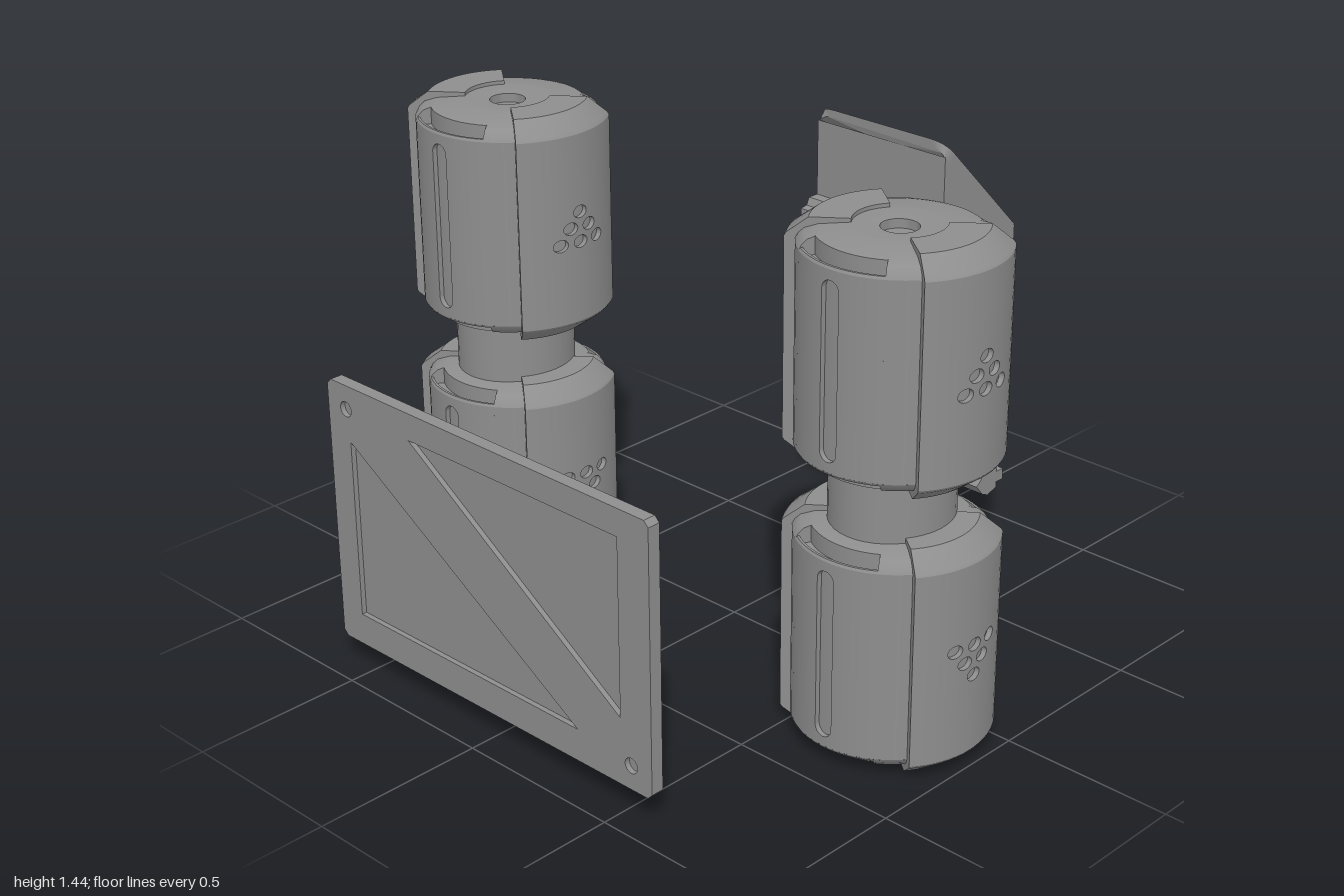
import * as THREE from 'three';
import { toCreasedNormals, mergeGeometries } from 'three/addons/utils/BufferGeometryUtils.js';

const mat = new THREE.MeshStandardMaterial({ color: 0x8e8e8e, side: THREE.DoubleSide });
const V2 = (p) => new THREE.Vector2(p[0], p[1]);
const poly = (pts) => new THREE.Shape(pts.map(V2));
const rect = (x0, x1, y0, y1) => poly([[x0, y0], [x1, y0], [x1, y1], [x0, y1]]);
const STRIPS = 16;

function mesh(name, geo) {
  const m = new THREE.Mesh(geo, mat);
  m.name = name;
  return m;
}

function prism(shape, depth, holes = []) {
  shape.holes.push(...holes);
  return new THREE.ExtrudeGeometry(shape, { depth, bevelEnabled: false, curveSegments: 20 });
}

// Keeps the part of a convex polygon where sign * (x - at) >= 0
function clip(pts, at, sign) {
  const out = [];
  pts.forEach((a, i) => {
    const b = pts[(i + 1) % pts.length], da = sign * (a[0] - at), db = sign * (b[0] - at);
    if (da >= 0) out.push(a);
    if (da * db < 0) out.push([at, a[1] + (b[1] - a[1]) * da / (da - db)]);
  });
  return out;
}

// Cuts a flat shape into upright strips and returns its triangles
function slice(shape, half, step) {
  const g = new THREE.ShapeGeometry(shape, 12), p = g.attributes.position, ix = g.index.array, out = [];
  for (let i = 0; i < ix.length; i += 3) {
    const t = [0, 1, 2].map((k) => [p.getX(ix[i + k]), p.getY(ix[i + k])]);
    for (let s = 0; s < STRIPS; s++) {
      const c = clip(clip(t, -half + s * step, 1), -half + (s + 1) * step, -1);
      for (let k = 2; k < c.length; k++) out.push([c[0], c[k - 1], c[k]]);
    }
  }
  return out.filter(([a, b, c]) => (b[0] - a[0]) * (c[1] - a[1]) - (b[1] - a[1]) * (c[0] - a[0]) > 1e-9);
}

// Cylinder wall panel with sunken pockets
function bentPanel(name, R, halfAngle, h, pockets, depth, phi) {
  const pos = [], nor = [], half = halfAngle * R, step = 2 * half / STRIPS;
  // Places a flat point on the faceted wall; n is its normal as across, up, out
  const put = ([x, y], r, n = [0, 0, 1]) => {
    const s = Math.min(STRIPS - 1, Math.max(0, Math.floor((x + half) / step + 1e-6)));
    const a0 = phi + (-half + s * step) / R, a1 = a0 + step / R, f = (x + half) / step - s, a = phi + x / R;
    pos.push(r * ((1 - f) * Math.sin(a0) + f * Math.sin(a1)), y, r * ((1 - f) * Math.cos(a0) + f * Math.cos(a1)));
    nor.push(n[0] * Math.cos(a) + n[2] * Math.sin(a), n[1], n[2] * Math.cos(a) - n[0] * Math.sin(a));
  };
  const panel = rect(-half, half, -h, h);
  panel.holes.push(...pockets);
  slice(panel, half, step).forEach((t) => t.forEach((q) => put(q, R)));
  for (const hole of pockets) {
    slice(hole, half, step).forEach((t) => t.forEach((q) => put(q, R - depth)));
    const loop = hole.getPoints(12).map((v) => [v.x, v.y]);
    loop.forEach((a, i) => {
      const b = loop[(i + 1) % loop.length], l = Math.hypot(b[0] - a[0], b[1] - a[1]);
      if (l < 1e-6) return;
      const n = [(a[1] - b[1]) / l, (b[0] - a[0]) / l, 0];
      put(a, R, n); put(b, R, n); put(a, R - depth, n);
      put(b, R, n); put(b, R - depth, n); put(a, R - depth, n);
    });
  }
  const g = new THREE.BufferGeometry();
  g.setAttribute('position', new THREE.Float32BufferAttribute(pos, 3));
  g.setAttribute('normal', new THREE.Float32BufferAttribute(nor, 3));
  return mesh(name, g);
}

// Upper and lower ends of a sector, with flat walls at its two sides
function sectorEnds(name, top, phi0, len) {
  const low = top.map(([r, y]) => [r, -y]).reverse();
  const parts = [top, low].map((pr) => new THREE.LatheGeometry(pr.map(V2), STRIPS, phi0, len).toNonIndexed());
  for (const phi of [phi0, phi0 + len]) {
    parts.push(new THREE.ShapeGeometry(poly([...low, ...top])).toNonIndexed().rotateY(phi - Math.PI / 2));
  }
  return mesh(name, toCreasedNormals(mergeGeometries(parts), 0.6));
}

function ellipse(x, y, rx, ry) {
  const s = new THREE.Shape();
  s.absellipse(x, y, rx, ry, 0, Math.PI * 2);
  return s;
}

function pod() {
  const g = new THREE.Group(), W = 0.66, S = Math.PI / 2 - W, slot = 0.57;
  const wedge = [[0.285, 0.275], [0.28, 0.283], [0.225, 0.325], [0.12, 0.325], [0.12, 0.3]];
  const solid = [[0.257, 0.27], [0.25, 0.283], [0.235, 0.297], [0.2, 0.308], [0.12, 0.315]];
  const slotted = [[0.257, 0.27], [0.253, 0.277], [0.246, 0.277], [0.246, 0.255], [0.215, 0.255], [0.215, 0.304], [0.2, 0.308], [0.12, 0.315]];
  for (const turn of [0, Math.PI]) {
    // Raised wedge with a triangle of six dimples
    const dots = [];
    for (let row = 0; row < 3; row++)
      for (let i = 0; i <= row; i++)
        dots.push(ellipse((i - row / 2) * 0.068, -0.05 + row * 0.044, 0.024, 0.018));
    g.add(bentPanel('wedgeWall', 0.285, W, 0.275, dots, 0.014, turn));
    g.add(sectorEnds('wedgeEnds', wedge, turn - W, 2 * W));
    // Side wall with a long upright groove and curved end slots
    const mid = turn + Math.PI / 2;
    const groove = new THREE.Shape();
    groove.absarc(0, 0.215, 0.027, 0, Math.PI);
    groove.absarc(0, -0.215, 0.027, Math.PI, Math.PI * 2);
    g.add(bentPanel('sideWall', 0.257, S, 0.27, [groove], 0.014, mid));
    g.add(sectorEnds('slottedEnds', slotted, mid - slot, 2 * slot));
    g.add(sectorEnds('sideEnds', solid, mid - S, S - slot));
    g.add(sectorEnds('sideEnds', solid, mid + slot, S - slot));
  }
  // Middle of each end with its round socket
  for (const s of [1, -1]) {
    const pts = [[0.135, 0.3125], [0.12, 0.3145], [0.05, 0.31], [0.05, 0.285], [0, 0.285]].map(([r, y]) => [r, y * s]);
    if (s < 0) pts.reverse();
    g.add(mesh('endSocket', toCreasedNormals(new THREE.LatheGeometry(pts.map(V2), 32), 0.6)));
  }
  return g;
}

function podStack() {
  const g = new THREE.Group();
  g.name = 'podStack';
  const lower = pod(), upper = pod();
  lower.name = 'lowerPod';
  lower.position.y = 0.325;
  upper.name = 'upperPod';
  upper.position.y = 1.115;
  upper.rotation.x = Math.PI;
  const neck = mesh('neck', new THREE.CylinderGeometry(0.17, 0.17, 0.2, 40).scale(1.03, 1, 0.95));
  neck.position.y = 0.72;
  g.add(lower, upper, neck);
  return g;
}

function wallPlate() {
  const g = new THREE.Group();
  g.name = 'wallPlate';
  const at = (u, v) => [-0.605 + u * 1.21, 0.08 + v * 0.78];
  const outline = () => {
    const a = 0.605, c = 0.015;
    return poly([[-a + c, 0.08], [a - c, 0.08], [a, 0.08 + c], [a, 0.86 - c], [a - c, 0.86], [-a + c, 0.86], [-a, 0.86 - c], [-a, 0.08 + c]]);
  };
  // Triangular pockets and two corner screw holes in the outer face
  const holes = [
    poly([at(0.27, 0.9), at(0.91, 0.9), at(0.91, 0.25)]),
    poly([at(0.07, 0.79), at(0.07, 0.12), at(0.78, 0.12)]),
    ellipse(...at(0.06, 0.91), 0.022, 0.022), ellipse(...at(0.94, 0.09), 0.022, 0.022)];
  const back = mesh('plateSheet', prism(outline(), 0.023).rotateY(-Math.PI / 2));
  const frame = mesh('plateFrame', prism(outline(), 0.015, holes).rotateY(-Math.PI / 2));
  back.position.x = -0.896;
  frame.position.x = -0.919;
  g.add(back, frame);
  return g;
}

function consoleUnit() {
  const g = new THREE.Group();
  g.name = 'console';
  const H = 0.237, T = 0.03;
  // Body in three slices; the outer ones have notches in the lower slope
  const notch = (t) => [[t, 0], [t, 0.03], [t + 0.035, 0.03], [t + 0.035, 0]]
    .map(([a, n]) => [0.6 + 0.651 * a + 0.759 * n, 0.43 - 0.759 * a + 0.651 * n]);
  for (const [z, d, cut] of [[-H, 0.04, true], [-H + 0.04, 2 * H - 0.08, false], [H - 0.04, 0.04, true]]) {
    const pts = [[0.6, 1.288], [0.6, 0.43], ...(cut ? [...notch(0.05), ...notch(0.28)] : []),
      [0.835, 0.156], [0.86, 0.145], [0.9, 0.158], [0.9, 0.988]];
    const b = mesh('body', prism(poly(pts), d, [ellipse(0.76, 0.87, 0.12, 0.12)]));
    b.position.z = z;
    g.add(b);
  }
  // Shallow round dishes in both sides
  for (const s of [1, -1]) {
    const dish = Array.from({ length: 9 }, (_, i) => new THREE.Vector2(0.12 * i / 8, -0.022 * (1 - (i / 8) ** 2)));
    const m = mesh('sideDish', new THREE.LatheGeometry(dish, 40).rotateX(s * Math.PI / 2));
    m.position.set(0.76, 0.87, s * H);
    g.add(m);
  }
  // Face skin with edge notches, framed hatches and square pockets
  const edge = [[H, 0.175], [H, 0.21], [0.18, 0.21], [0.18, 0.25], [H, 0.25],
    [H, 0.4], [0.18, 0.4], [0.18, 0.445], [H, 0.445], [H, 0.997]];
  const skin = poly([...edge, ...edge.map(([x, y]) => [-x, y]).reverse()]);
  const face = (name, geo, x) => {
    const m = mesh(name, geo.rotateY(Math.PI / 2));
    m.position.x = x;
    g.add(m);
  };
  face('faceSkin', prism(skin, T, [rect(-0.155, 0.155, 0.185, 0.46), rect(-0.15, 0.15, 0.775, 0.985),
    rect(-0.222, -0.1, 0.54, 0.7), rect(0.1, 0.222, 0.54, 0.7)]), 0.9);
  face('lowerHatch', prism(rect(-0.137, 0.137, 0.202, 0.442), 0.027), 0.9);
  face('upperHatch', prism(poly([[-0.135, 0.792], [0.135, 0.792], [0.135, 0.99], [0.035, 0.99], [0.035, 0.955],
    [-0.035, 0.955], [-0.035, 0.99], [-0.135, 0.99]]), 0.028), 0.9);
  for (const s of [-1, 1]) face('pocketStep', prism(rect(s * 0.155 - 0.05, s * 0.155 + 0.05, 0.54, 0.625), 0.014), 0.9);
  // Sloped top skin with rounded upper corners, trimmed flush at the back
  const L = 0.467, r = 0.06, top = new THREE.Shape();
  top.moveTo(-H, 0).lineTo(H, 0).lineTo(H, L - r);
  top.quadraticCurveTo(H, L, H - r, L).lineTo(-H + r, L);
  top.quadraticCurveTo(-H, L, -H, L - r);
  const slope = prism(top, T, [rect(-0.037, 0.037, 0.01, 0.085), rect(-0.037, 0.037, 0.3, 0.43)]);
  slope.rotateY(Math.PI / 2).rotateZ(Math.PI / 4).translate(0.93 - T * 0.707, 1 - T * 0.707, 0);
  const p = slope.attributes.position;
  for (let i = 0; i < p.count; i++) p.setX(i, Math.max(p.getX(i), 0.6));
  slope.computeVertexNormals();
  g.add(mesh('slopeSkin', slope));
  // Rails across the back
  const rails = [
    [[0.61, 0.965], [0.61, 1.06], [0.565, 1.06], [0.555, 1.038], [0.53, 1.035], [0.53, 0.965]],
    [[0.61, 0.52], [0.61, 0.595], [0.585, 0.59], [0.565, 0.58], [0.565, 0.535], [0.585, 0.525]]];
  for (const pts of rails) {
    const m = mesh('backRail', prism(poly(pts), 2 * H));
    m.position.z = -H;
    g.add(m);
  }
  return g;
}

export function createModel() {
  const model = new THREE.Group();
  for (const s of [1, -1]) {
    const stack = podStack();
    stack.position.set(-0.165, 0, s * 0.715);
    model.add(stack);
  }
  model.add(wallPlate(), consoleUnit());
  return model;
}
